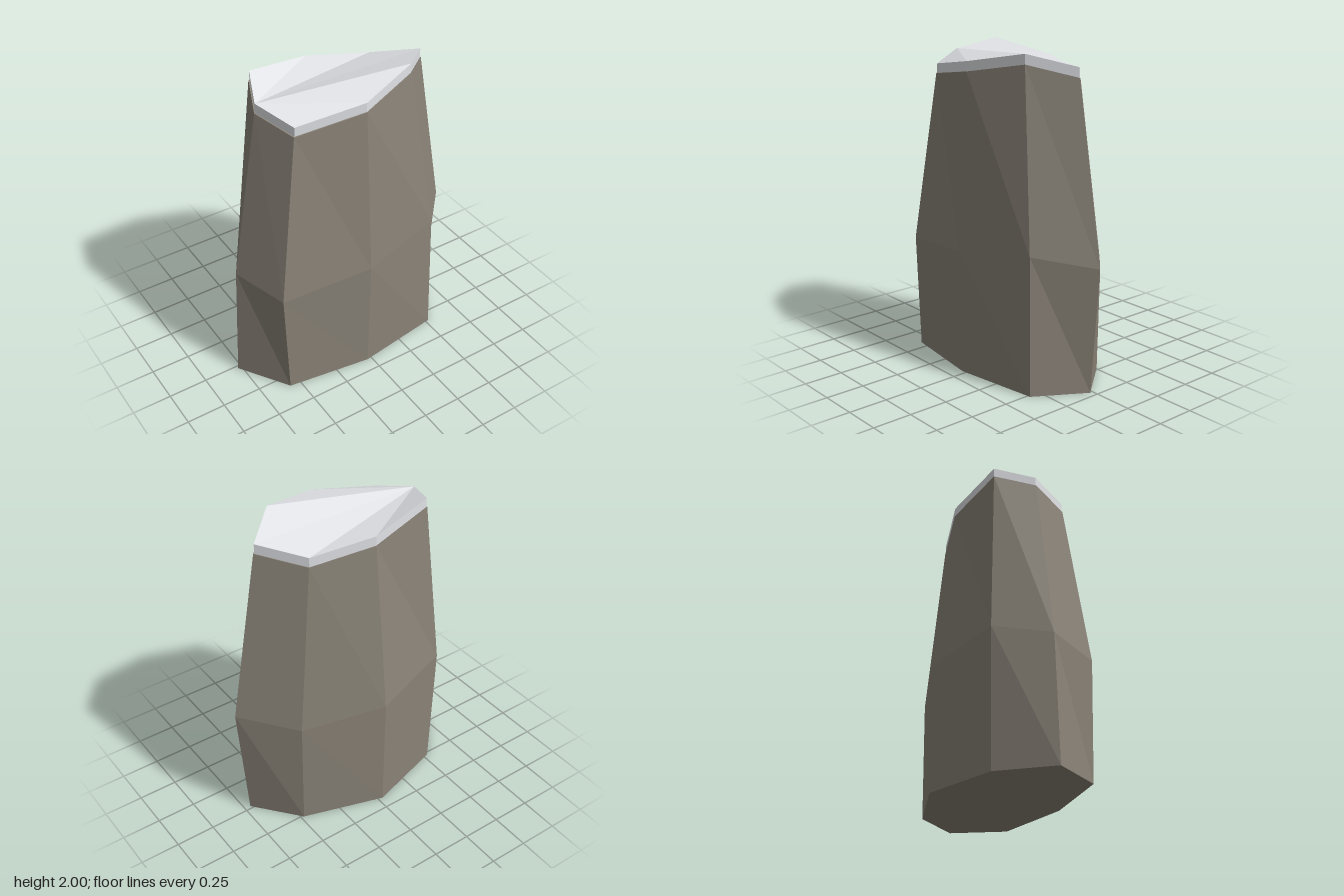
import * as THREE from 'three';

// Each ring has eight corners [x, y, z], starting at +x and turning towards +z.
const base = [
  [0.71, 0, 0.02], [0.52, 0, 0.33], [-0.03, 0, 0.41], [-0.57, 0, 0.335],
  [-0.775, 0, 0.02], [-0.53, 0, -0.27], [-0.03, 0, -0.42], [0.48, 0, -0.26],
];
const waist = [
  [0.77, 0.79, 0.02], [0.5, 0.86, 0.32], [-0.03, 0.79, 0.425], [-0.6, 0.73, 0.34],
  [-0.74, 0.79, 0.02], [-0.55, 0.85, -0.28], [-0.03, 0.78, -0.425], [0.48, 0.73, -0.265],
];
const crown = [
  [0.573, 1.93, 0.02], [0.35, 2, 0.23], [-0.03, 1.93, 0.347], [-0.443, 1.865, 0.257],
  [-0.55, 1.93, 0.02], [-0.45, 1.99, -0.215], [-0.03, 1.92, -0.293], [0.355, 1.87, -0.195],
];

// Copy of a ring, scaled sideways and lowered.
const shifted = (ring, scale, drop) => ring.map(([x, y, z]) => [x * scale, y - drop, z * scale]);

// Joins rings from bottom to top and closes the ends with fans from one corner.
function loft(rings, closeBottom) {
  const points = [];
  const n = rings[0].length;
  for (let r = 0; r < rings.length - 1; r++) {
    for (let i = 0; i < n; i++) {
      const j = (i + 1) % n;
      const [a, b, c, d] = [rings[r][i], rings[r][j], rings[r + 1][j], rings[r + 1][i]];
      points.push(a, d, c, a, c, b);
    }
  }
  const top = rings[rings.length - 1], bottom = rings[0];
  for (let k = 1; k < n - 1; k++) {
    const i = (4 + k) % n, j = (5 + k) % n;
    points.push(top[4], top[j], top[i]);
    if (closeBottom) points.push(bottom[4], bottom[i], bottom[j]);
  }
  const geometry = new THREE.BufferGeometry();
  geometry.setAttribute('position', new THREE.Float32BufferAttribute(points.flat(), 3));
  geometry.computeVertexNormals(); // unshared corners give flat facets
  return geometry;
}

export function createModel() {
  const stone = new THREE.MeshStandardMaterial({ color: 0x8a8378, flatShading: true });
  stone.name = 'stone';
  const snow = new THREE.MeshStandardMaterial({ color: 0xe6e8ec, flatShading: true });
  snow.name = 'snow';

  const group = new THREE.Group();
  group.name = 'snowCappedRock';

  // Faceted rock body
  const rock = new THREE.Mesh(loft([base, waist, shifted(crown, 1.012, 0.06)], true), stone);
  rock.name = 'rockBody';

  // Thin snow slab, its open underside resting on the rock
  const cap = new THREE.Mesh(loft([shifted(crown, 1, 0.06), crown], false), snow);
  cap.name = 'snowCap';

  group.add(rock, cap);
  return group;
}
